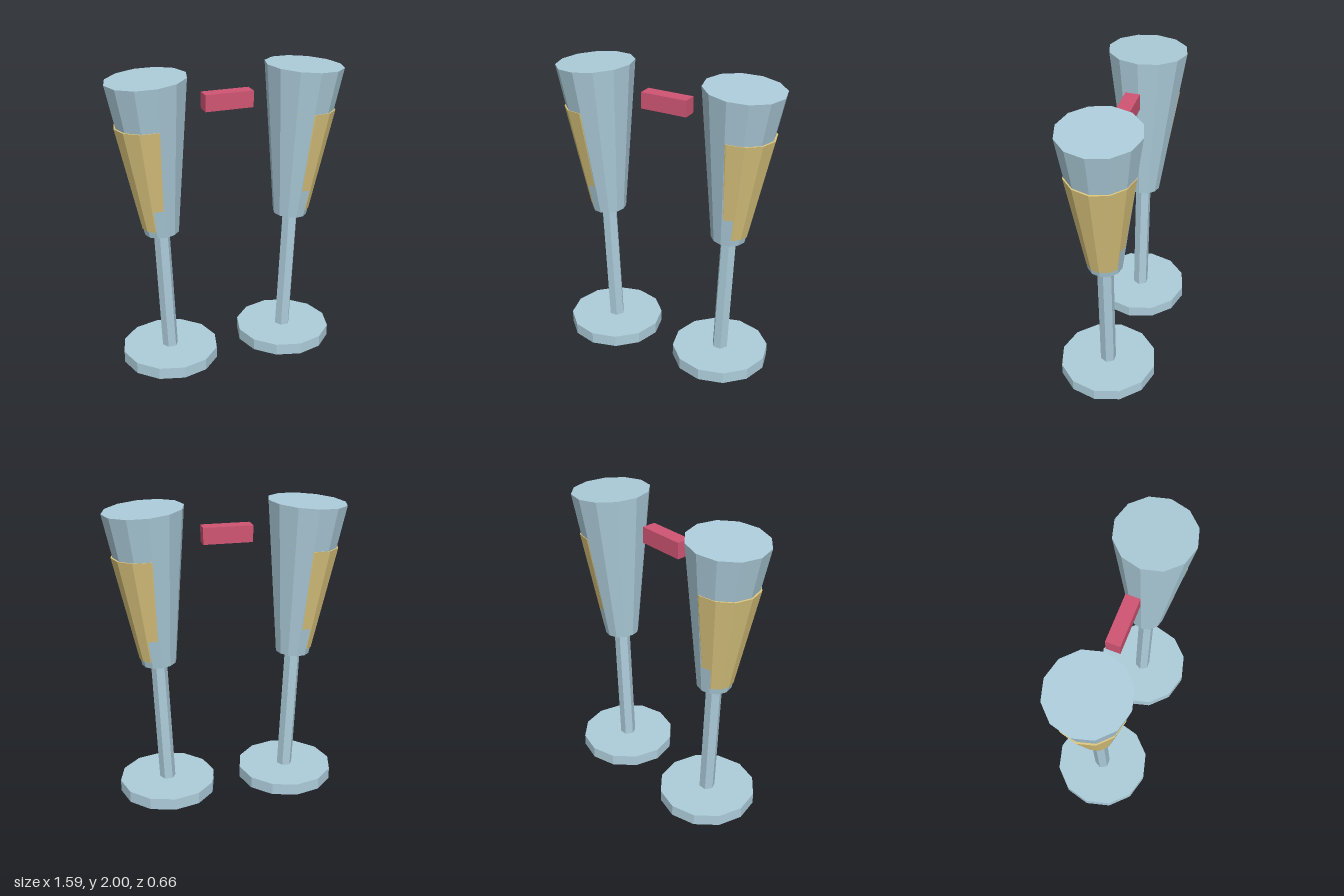
import * as THREE from 'three';

const make = (name, color) => {
  const m = new THREE.MeshStandardMaterial({ color, flatShading: true });
  m.name = name;
  return m;
};

// Tapered prism running from point a to point b in the z = 0 plane
function strut(name, material, a, b, rBottom, rTop, sides, turn = 0) {
  const start = new THREE.Vector3(a[0], a[1], 0);
  const end = new THREE.Vector3(b[0], b[1], 0);
  const axis = end.clone().sub(start);
  const geometry = new THREE.CylinderGeometry(rTop, rBottom, axis.length(), sides);
  geometry.rotateY(turn);
  const mesh = new THREE.Mesh(geometry, material);
  mesh.name = name;
  mesh.position.copy(start).add(end).multiplyScalar(0.5);
  mesh.quaternion.setFromUnitVectors(new THREE.Vector3(0, 1, 0), axis.normalize());
  return mesh;
}

export function createModel() {
  const glassBlue = make('pale blue glass', 0xadcddb);
  const gold = make('golden drink', 0xdcc67e);
  const pink = make('pink', 0xd05574);
  const model = new THREE.Group();
  model.name = 'pairOfFlutes';

  // Two flutes leaning away from each other
  for (const [s, name] of [[1, 'leftFlute'], [-1, 'rightFlute']]) {
    const flute = new THREE.Group();
    flute.name = name;
    flute.add(
      strut('foot', glassBlue, [s * 0.425, 0], [s * 0.425, 0.08], 0.33, 0.33, 12),
      strut('stem', glassBlue, [s * 0.425, 0.07], [s * 0.463, 0.96], 0.054, 0.054, 6, Math.PI / 6),
      strut('bowl', glassBlue, [s * 0.46, 0.948], [s * 0.535, 1.981], 0.115, 0.262, 12),
      // The drink sits slightly outward, so it shows through the outer wall
      strut('drink', gold, [s * 0.473, 0.993], [s * 0.524, 1.699], 0.1175, 0.2245, 12)
    );
    model.add(flute);
  }

  // Small bar floating between the rims
  const bar = new THREE.Mesh(new THREE.BoxGeometry(0.326, 0.11, 0.095), pink);
  bar.name = 'centreBar';
  bar.position.set(0, 1.797, 0);
  model.add(bar);
  return model;
}
